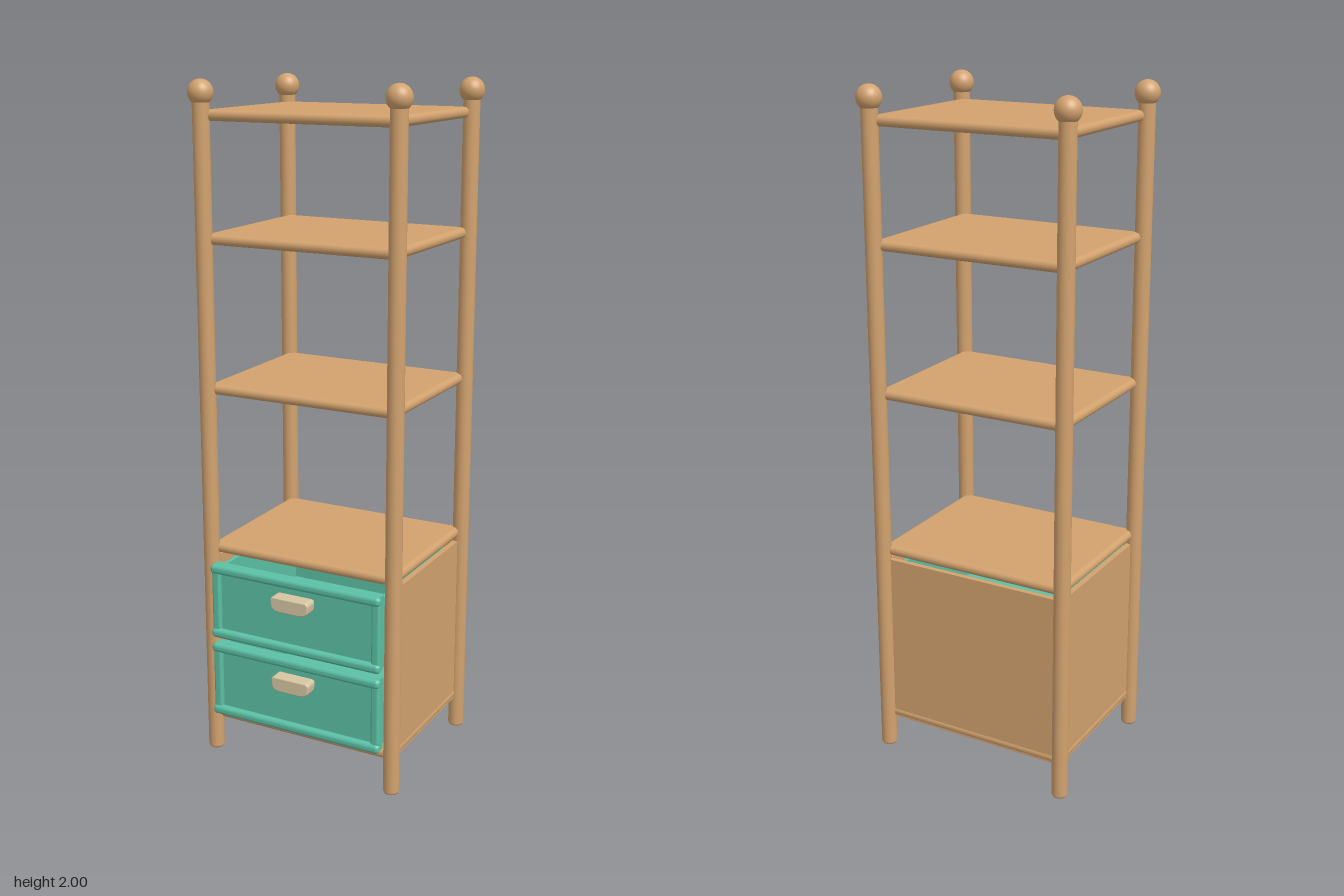
import * as THREE from 'three';
import { RoundedBoxGeometry } from 'three/addons/geometries/RoundedBoxGeometry.js';

const mat = (name, color) => {
  const m = new THREE.MeshStandardMaterial({ color });
  m.name = name;
  return m;
};

export function createModel() {
  const wood = mat('warm wood', 0xd2a26e);
  const green = mat('sea green paint', 0x5bc0a4);
  const pale = mat('pale wood', 0xd6c5a2);

  const root = new THREE.Group();
  root.name = 'shelfTower';

  const add = (parent, name, geometry, material, x, y, z) => {
    const mesh = new THREE.Mesh(geometry, material);
    mesh.name = name;
    mesh.position.set(x, y, z);
    parent.add(mesh);
    return mesh;
  };
  const box = (w, h, d) => new THREE.BoxGeometry(w, h, d);
  const rounded = (w, h, d, r) => new RoundedBoxGeometry(w, h, d, 4, r);

  const postX = 0.298, backZ = -0.254, frontZ = 0.219;
  const midZ = (backZ + frontZ) / 2;

  // Corner posts with softened feet and ball finials
  const postGeo = new THREE.LatheGeometry([
    [0, 0], [0.016, 0], [0.021, 0.003], [0.024, 0.01], [0.024, 1.95], [0, 1.95],
  ].map(([r, y]) => new THREE.Vector2(r, y)), 32);
  const ballGeo = new THREE.SphereGeometry(0.036, 32, 20);
  for (const x of [-postX, postX]) {
    for (const z of [backZ, frontZ]) {
      add(root, 'cornerPost', postGeo, wood, x, 0, z);
      add(root, 'ballFinial', ballGeo, wood, x, 1.964, z);
    }
  }

  // Shelves with half-round edges
  const shelfGeo = rounded(0.6, 0.03, 0.478, 0.0145);
  for (const y of [0.115, 0.653, 1.135, 1.565, 1.903]) {
    add(root, 'shelf', shelfGeo, wood, 0, y, midZ);
  }

  // Cabinet side and back panels, stopping just short of the shelf above
  for (const s of [-1, 1]) {
    add(root, 'sidePanel', box(0.016, 0.525, 0.465), wood, s * 0.29, 0.3625, midZ);
  }
  add(root, 'backPanel', box(0.59, 0.525, 0.016), wood, 0, 0.3625, -0.246);

  // Drawers: open box, recessed front panel, rounded frame and handle
  const makeDrawer = (y) => {
    const drawer = new THREE.Group();
    drawer.name = 'drawer';
    drawer.position.y = y;
    add(drawer, 'drawerFront', box(0.545, 0.225, 0.02), green, 0, 0, 0.237);
    for (const s of [-1, 1]) {
      add(drawer, 'drawerSide', box(0.012, 0.2, 0.44), green, s * 0.262, 0, 0.007);
      add(drawer, 'frameRail', rounded(0.556, 0.029, 0.025, 0.012), green, 0, s * 0.1015, 0.2565);
      add(drawer, 'frameStile', rounded(0.027, 0.19, 0.02, 0.008), green, s * 0.262, 0, 0.252);
    }
    add(drawer, 'drawerBack', box(0.536, 0.2, 0.012), green, 0, 0, -0.215);
    add(drawer, 'drawerBottom', box(0.53, 0.012, 0.44), green, 0, -0.094, 0.007);

    // Pull: an oblong with narrowed ends, flatter along the top
    const outline = new THREE.Shape();
    outline.moveTo(-0.05, 0.018);
    outline.lineTo(0.05, 0.018);
    outline.quadraticCurveTo(0.058, 0.018, 0.058, 0.009);
    outline.lineTo(0.056, -0.007);
    outline.quadraticCurveTo(0.052, -0.019, 0.03, -0.019);
    outline.lineTo(-0.03, -0.019);
    outline.quadraticCurveTo(-0.052, -0.019, -0.056, -0.007);
    outline.lineTo(-0.058, 0.009);
    outline.quadraticCurveTo(-0.058, 0.018, -0.05, 0.018);
    const pullGeo = new THREE.ExtrudeGeometry(outline, {
      depth: 0.032, bevelEnabled: true, bevelThickness: 0.007,
      bevelSize: 0.004, bevelSegments: 4, curveSegments: 8,
    });
    add(drawer, 'drawerHandle', pullGeo, pale, 0, 0.042, 0.248);
    return drawer;
  };
  root.add(makeDrawer(0.252), makeDrawer(0.502));

  return root;
}
